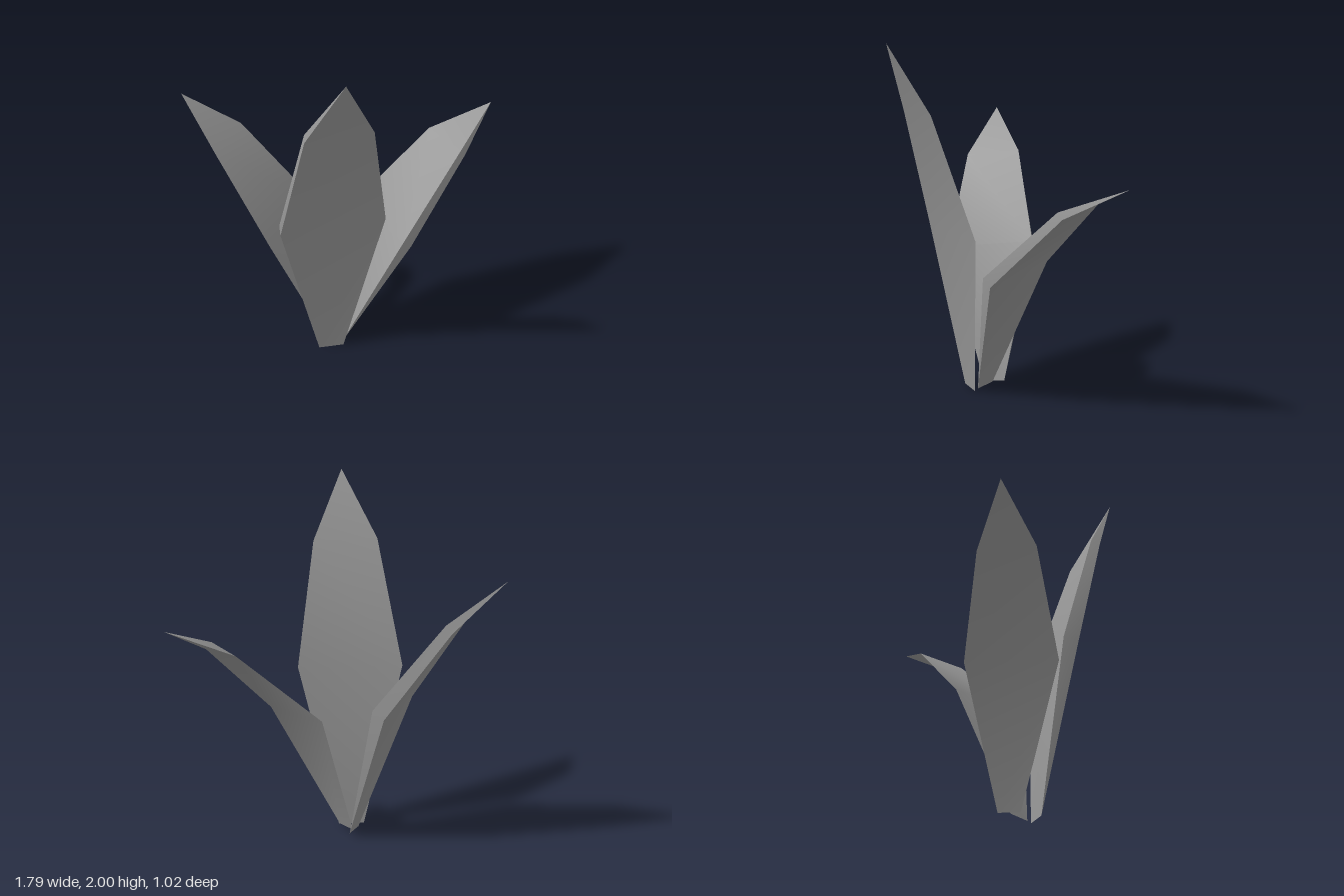
import * as THREE from 'three';
import { toCreasedNormals } from 'three/addons/utils/BufferGeometryUtils.js';

// Each leaf is a bent wedge: a thin edge on one side, a thick edge (inner + outer line) on the other.
const LEAVES = {
  frontLeaf: {
    thin: [[-0.027, 0, 0.025], [0.205, 0.935, 0.09], [0.11, 1.62, 0.31]],
    inner: [[-0.173, 0, 0.04], [-0.39, 0.935, 0.105], [-0.255, 1.63, 0.32]],
    outer: [[-0.173, 0, 0.04], [-0.388, 0.925, 0.19], [-0.258, 1.61, 0.37]],
    tip: [-0.057, 2, 0.512],
  },
  leftLeaf: {
    thin: [[-0.1, 0.02, -0.105], [0.08, 0.765, -0.37], [0.53, 1.17, -0.49]],
    inner: [[-0.03, 0.012, 0.005], [0.31, 0.755, 0.08], [0.67, 1.17, -0.21]],
    outer: [[-0.03, 0.012, 0.005], [0.36, 0.712, 0.055], [0.7, 1.135, -0.225]],
    tip: [0.893, 1.31, -0.512],
  },
  rightLeaf: {
    thin: [[-0.135, 0.02, -0.06], [-0.445, 0.765, 0.06], [-0.72, 1.27, -0.14]],
    inner: [[-0.08, 0.025, -0.17], [-0.19, 0.825, -0.375], [-0.57, 1.305, -0.415]],
    outer: [[-0.08, 0.025, -0.17], [-0.25, 0.78, -0.405], [-0.6, 1.26, -0.43]],
    tip: [-0.893, 1.53, -0.38],
  },
};

function leafGeometry({ thin, inner, outer, tip }) {
  const positions = [];
  const same = (p, q) => p.every((v, i) => v === q[i]);
  const triangle = (a, b, c) => {
    if (!same(a, b) && !same(b, c) && !same(a, c)) positions.push(...a, ...b, ...c);
  };
  // Strip of quads between two long edges, each split from a (low) to b (high)
  const strip = (a, b, flip) => {
    const lineA = [...a, tip];
    const lineB = [...b, tip];
    for (let i = 0; i < a.length; i++) {
      const [a0, a1, b0, b1] = [lineA[i], lineA[i + 1], lineB[i], lineB[i + 1]];
      if (flip) {
        triangle(a0, b1, b0);
        triangle(a0, a1, b1);
      } else {
        triangle(a0, b0, b1);
        triangle(a0, b1, a1);
      }
    }
  };
  strip(outer, thin, false); // outside face
  strip(inner, thin, true); // inside face
  strip(inner, outer, false); // thick edge
  const geometry = new THREE.BufferGeometry();
  geometry.setAttribute('position', new THREE.Float32BufferAttribute(positions, 3));
  return toCreasedNormals(geometry, 0.6);
}

export function createModel() {
  const plant = new THREE.Group();
  plant.name = 'leafCluster';
  const material = new THREE.MeshStandardMaterial({ color: 0x969696 });
  for (const [name, leaf] of Object.entries(LEAVES)) {
    const mesh = new THREE.Mesh(leafGeometry(leaf), material);
    mesh.name = name;
    plant.add(mesh);
  }
  return plant;
}
